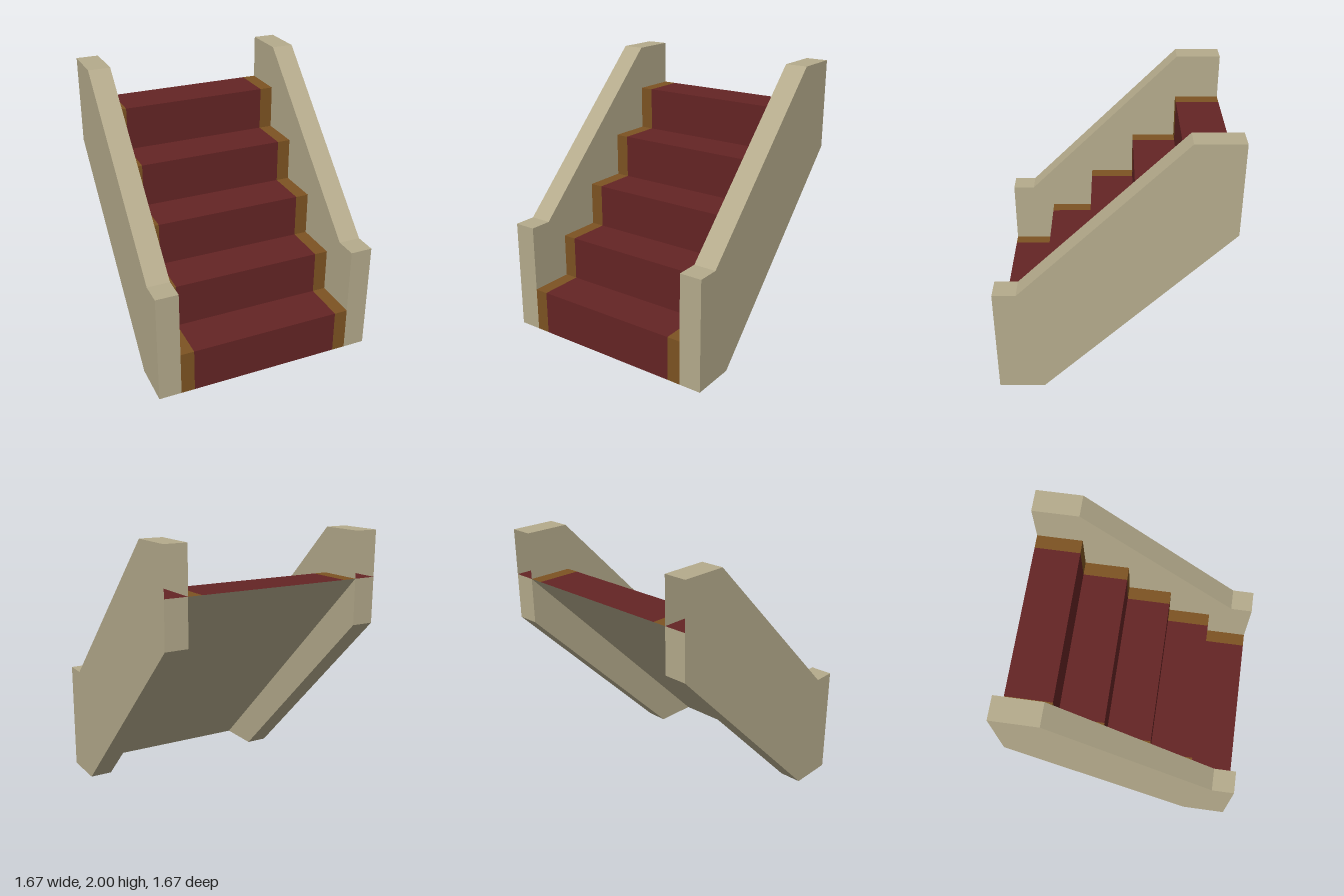
import * as THREE from 'three';

const W = 5 / 6;        // half width and half depth
const IN = 2 / 3;       // inner face of the side walls
const CARPET = 0.565;   // half width of the carpet
const STEP = 1 / 3;

const mat = (name, color) => {
  const m = new THREE.MeshStandardMaterial({ color, side: THREE.DoubleSide });
  m.name = name;
  return m;
};

// Sweeps a [z, y] path across x0..x1 as flat quads
function ribbon(path, x0, x1) {
  const pos = [];
  for (let i = 0; i < path.length - 1; i++) {
    const [z0, y0] = path[i], [z1, y1] = path[i + 1];
    pos.push(x0, y0, z0, x1, y0, z0, x1, y1, z1);
    pos.push(x0, y0, z0, x1, y1, z1, x0, y1, z1);
  }
  const g = new THREE.BufferGeometry();
  g.setAttribute('position', new THREE.Float32BufferAttribute(pos, 3));
  g.computeVertexNormals();
  return g;
}

export function createModel() {
  const model = new THREE.Group();
  const stone = mat('beige stone', 0xb5ab8c);
  const red = mat('dark red carpet', 0x642424);
  const wood = mat('brown wood', 0x7d5322);
  const add = (name, geometry, material, parent = model) => {
    const m = new THREE.Mesh(geometry, material);
    m.name = name;
    parent.add(m);
    return m;
  };

  // Five risers and treads, from the front foot to the top back edge
  const stairs = [[W, 0]];
  for (let i = 0; i < 5; i++) {
    stairs.push([W - i * STEP, (i + 1) * STEP], [W - (i + 1) * STEP, (i + 1) * STEP]);
  }
  add('carpet', ribbon(stairs, -CARPET, CARPET), red);
  add('leftStepEdge', ribbon(stairs, CARPET, IN), wood);
  add('rightStepEdge', ribbon(stairs, -IN, -CARPET), wood);

  // Sloping underside between the walls
  add('underside', ribbon([[-W, 5 * STEP], [W, 0]], -IN, IN), stone);

  // Side walls, hollow and open at the back above the top step
  const outline = [
    [-W, 5 * STEP], [-W, 4 * STEP], [0.5, 0], [W, 0],
    [W, W], [IN, W], [-0.5, 2], [-W, 2],
  ];
  const shape = new THREE.Shape(outline.map(([z, y]) => new THREE.Vector2(z, y)));
  for (const s of [1, -1]) {
    const wall = new THREE.Group();
    wall.name = s > 0 ? 'leftWall' : 'rightWall';
    model.add(wall);
    const x0 = s > 0 ? IN : -W, x1 = s > 0 ? W : -IN;
    add('wallRim', ribbon(outline, x0, x1), stone, wall);
    for (const x of [x0, x1]) {
      const side = new THREE.ShapeGeometry(shape).rotateY(-Math.PI / 2).translate(x, 0, 0);
      add('wallFace', side, stone, wall);
    }
    add('wallFloor', ribbon([[-0.5, 5 * STEP], [-W, 5 * STEP]], x0, x1), red, wall);
  }
  return model;
}
